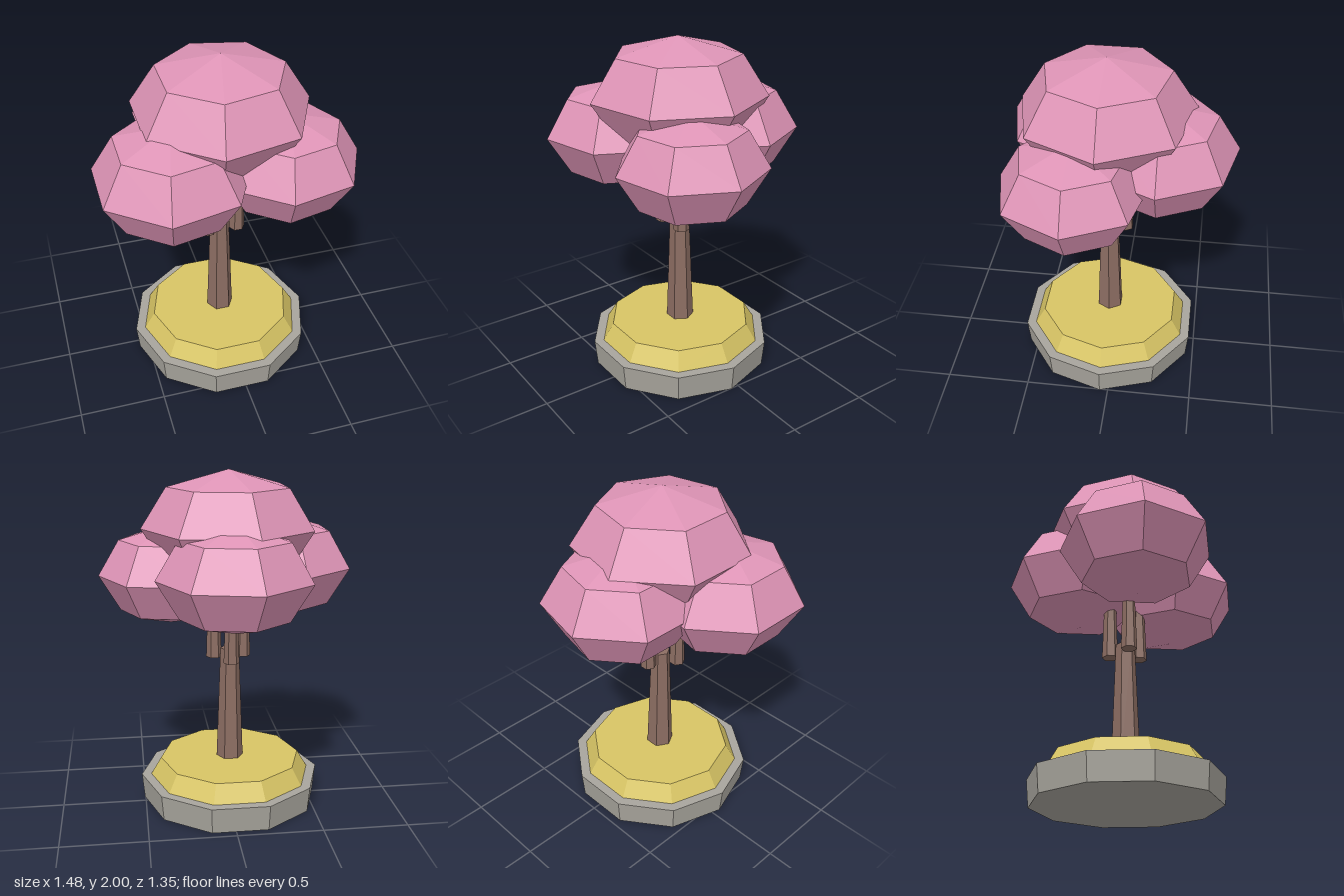
import * as THREE from 'three';

const flat = (name, color) => {
  const m = new THREE.MeshStandardMaterial({ color, flatShading: true });
  m.name = name;
  return m;
};

export function createModel() {
  const tree = new THREE.Group();
  tree.name = 'blossomTree';
  const stone = flat('stone', 0xa8a59d);
  const grass = flat('grass', 0xd8c565);
  const bark = flat('bark', 0x8d6e63);
  const blossom = flat('blossom', 0xde94b6);

  const add = (name, geometry, material, x, y, z) => {
    const mesh = new THREE.Mesh(geometry, material);
    mesh.name = name;
    mesh.position.set(x, y, z);
    tree.add(mesh);
  };

  // Tapered prism between two heights, one corner pointing to +x
  const prism = (name, material, sides, x, z, y0, y1, r0, r1) => {
    const g = new THREE.CylinderGeometry(r1, r0, y1 - y0, sides).rotateY(Math.PI / 2);
    add(name, g, material, x, (y0 + y1) / 2, z);
  };

  // Seven-sided squashed ball, one corner pointing to +x
  const puff = (name, x, y, z, r, h) => {
    const g = new THREE.SphereGeometry(1, 7, 4).rotateY(Math.PI).scale(r, h, r);
    add(name, g, blossom, x, y, z);
  };

  // Planter and trunk share one axis
  const cx = -0.025, cz = 0.05;
  prism('stoneBase', stone, 10, cx, cz, 0, 0.155, 0.53, 0.545);
  prism('grassMound', grass, 10, cx, cz, 0.155, 0.26, 0.487, 0.425);
  prism('trunk', bark, 6, cx, cz, 0.2, 0.95, 0.083, 0.056);

  // Upright branches around the trunk top
  const branches = [
    ['rightBranch', -0.11, 0.105],
    ['leftBranch', 0.065, 0.1],
    ['backBranch', -0.023, -0.047],
  ];
  for (const [name, x, z] of branches) prism(name, bark, 6, x, z, 0.885, 1.3, 0.047, 0.033);

  // Canopy
  puff('topCanopy', -0.02, 1.67, 0.06, 0.507, 0.33);
  puff('rightCanopy', -0.34, 1.41, 0.24, 0.445, 0.31);
  puff('leftCanopy', 0.313, 1.375, 0.206, 0.425, 0.297);
  puff('backCanopy', -0.02, 1.43, -0.245, 0.445, 0.31);

  return tree;
}
